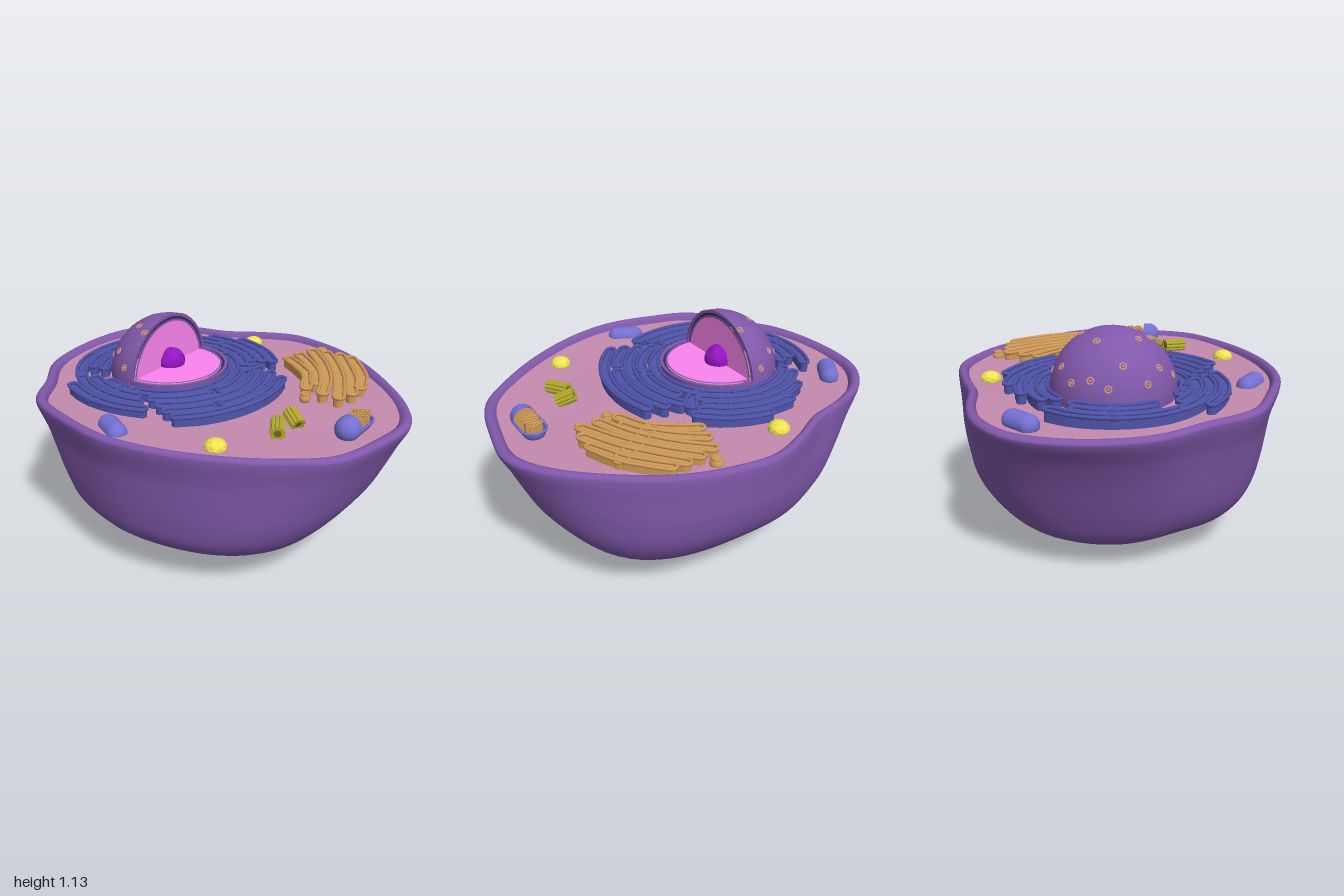
import * as THREE from 'three';

const V3 = (x, y, z) => new THREE.Vector3(x, y, z);
const mat = (color, double) => new THREE.MeshStandardMaterial({ color, side: double ? THREE.DoubleSide : THREE.FrontSide });
const PURPLE = 0x8058aa, DARK = 0x3d2a55, BLUE = 0x5054aa, LILAC = 0x7470d2, TAN = 0xd09a58, PINK = 0xfa84ee;

function add(parent, name, geo, color, double = false) {
  const m = new THREE.Mesh(geo, mat(color, double));
  m.name = name;
  parent.add(m);
  return m;
}

// Surface through rows of points that close on themselves
function loft(rows) {
  const n = rows[0].length, pos = [], idx = [];
  rows.forEach(r => r.forEach(p => pos.push(p.x, p.y, p.z)));
  for (let j = 0; j < rows.length - 1; j++) for (let i = 0; i < n; i++) {
    const a = j * n + i, b = j * n + (i + 1) % n;
    idx.push(a, b, a + n, b, b + n, a + n);
  }
  const g = new THREE.BufferGeometry();
  g.setAttribute('position', new THREE.Float32BufferAttribute(pos, 3));
  g.setIndex(idx);
  g.computeVertexNormals();
  return g;
}

// Rounded strip following [x, z] points, with a raised lip round its top edge
function ribbon(parent, name, pts, w, y0, h, color, lip = 0.01) {
  const curve = new THREE.CatmullRomCurve3(pts.map(p => V3(p[0], 0, p[1])));
  const n = Math.max(12, pts.length * 4), left = [], right = [], out = [];
  for (let i = 0; i <= n; i++) {
    const p = curve.getPoint(i / n), t = curve.getTangent(i / n);
    left.push([p.x - t.z * w / 2, p.z + t.x * w / 2]);
    right.unshift([p.x + t.z * w / 2, p.z - t.x * w / 2]);
  }
  const cap = (u, s) => {
    const p = curve.getPoint(u), t = curve.getTangent(u).multiplyScalar(s);
    for (let k = 1; k < 5; k++) {
      const a = k * Math.PI / 5, c = Math.cos(a) * w / 2, d = Math.sin(a) * w / 2;
      out.push([p.x - t.z * c + t.x * d, p.z + t.x * c + t.z * d]);
    }
  };
  out.push(...left); cap(1, 1); out.push(...right); cap(0, -1);
  const g = new THREE.Group();
  g.name = name;
  const body = new THREE.ExtrudeGeometry(new THREE.Shape(out.map(p => new THREE.Vector2(p[0], -p[1]))),
    { depth: h - lip * 1.6, bevelEnabled: false }).rotateX(-Math.PI / 2).translate(0, y0, 0);
  add(g, name + 'Body', body, color);
  const edge = new THREE.CatmullRomCurve3(out.map(p => V3(p[0], y0 + h - lip, p[1])), true);
  add(g, name + 'Lip', new THREE.TubeGeometry(edge, out.length * 2, lip, 6, true), color);
  parent.add(g);
}

function buildMembrane(g) {
  const outline = new THREE.CatmullRomCurve3([
    [0.14, -1], [0.35, -0.955], [0.52, -0.81], [0.61, -0.63], [0.665, -0.42], [0.76, -0.24], [0.84, -0.02], [0.815, 0.2],
    [0.745, 0.41], [0.595, 0.64], [0.355, 0.89], [0.16, 0.99], [-0.07, 0.97], [-0.345, 0.89], [-0.515, 0.72], [-0.675, 0.485],
    [-0.79, 0.22], [-0.84, -0.05], [-0.8, -0.33], [-0.712, -0.595], [-0.5, -0.755], [-0.32, -0.905], [-0.13, -0.975],
  ].map(p => V3(p[0], 0, p[1])), true).getPoints(120).slice(0, 120);
  const rimY = p => 0.798 + 0.029 * (p.x / 0.84) ** 2 - 0.008 * p.x + 0.008 * Math.max(0, -p.z);
  const floorY = (x, z) => 0.792 + 0.014 * (x / 0.84) ** 2 - 0.006 * x - 0.006 * z * z + 0.003 * Math.sin(7 * x + 2) * Math.sin(6 * z);
  // height and scale towards left-hand x, right-hand x, front, back
  const section = [[0.68, 0.955, 0.99, 0.955, 0.93], [0.56, 0.935, 0.975, 0.905, 0.87], [0.42, 0.91, 0.92, 0.84, 0.81],
    [0.3, 0.87, 0.81, 0.75, 0.755], [0.2, 0.76, 0.69, 0.66, 0.69], [0.12, 0.57, 0.55, 0.54, 0.57],
    [0.06, 0.4, 0.4, 0.39, 0.44], [0.022, 0.22, 0.25, 0.2, 0.3]];
  const columns = outline.map(p => {
    const lerp = THREE.MathUtils.lerp;
    const pts = [[0.935, floorY(p.x, p.z) - 0.006], [0.95, rimY(p)], [0.97, rimY(p) + 0.01], [0.99, rimY(p) + 0.004], [1, rimY(p) - 0.012]]
      .map(([s, y]) => V3(p.x * s, y, p.z * s));
    // lower down, the wavy outline swells into a plain rounded oval
    const norm = (Math.abs(p.x / 0.84) ** 2.5 + Math.abs(p.z / 0.99) ** 2.5) ** 0.4;
    section.forEach(([y, l, r, f, b]) => {
      const k = Math.min(1, (0.8 - y) * 2) * (0.75 + 0.3 * (p.x + p.z)), q = norm ** -k;
      pts.push(V3(p.x * q * lerp(l, r, (p.x / 0.84 + 1) / 2), y,
        p.z * q * lerp(b, f, (p.z + 1) / 2) - 0.1 * (1 - y / 0.8) ** 8));
    });
    pts.push(V3(-0.03, 0.002, -0.13));
    return new THREE.CatmullRomCurve3(pts).getPoints(52);
  });
  add(g, 'membrane', loft(columns[0].map((_, j) => columns.map(c => c[j]))), PURPLE);
  const floor = [];
  for (let k = 0; k <= 14; k++) floor.push(outline.map(p => {
    const s = 0.945 * k / 14;
    return V3(p.x * s, floorY(p.x * s, p.z * s), p.z * s);
  }));
  add(g, 'cytoplasm', loft(floor), 0xc48aae);
}

function buildNucleus(g) {
  const n = new THREE.Group();
  n.name = 'nucleus';
  n.position.set(-0.029, 0.821, -0.302);
  g.add(n);
  const R = 0.309, P = Math.PI, top = 0.046;
  add(n, 'nucleusDome', new THREE.SphereGeometry(R, 40, 24, P, P, 0, P / 2 + 0.12), PURPLE, true);
  add(n, 'nucleusBase', new THREE.CylinderGeometry(R, R * 0.98, top + 0.035, 40, 1, true, -P / 2, P).translate(0, top / 2 - 0.0175, 0), PURPLE, true);
  // layered envelope seen on both cut faces
  [[R, 0.294, PURPLE, 0], [0.294, 0.28, DARK, -0.008], [0.28, 0.27, PURPLE, 0]].forEach(([o, i, c, d]) => {
    add(n, 'envelopeArch', new THREE.RingGeometry(i, o, 40, 1, 0, P).translate(0, 0, d), c, true);
    add(n, 'envelopeLedge', new THREE.RingGeometry(i, o, 40, 1, P, P).rotateX(-P / 2).translate(0, top + d, 0), c, true);
  });
  add(n, 'innerWall', new THREE.CircleGeometry(0.272, 40, 0, P).translate(0, 0, -0.006), PINK, true);
  add(n, 'innerFloor', new THREE.CircleGeometry(0.272, 40, P, P).rotateX(-P / 2).translate(0, top - 0.006, 0), PINK, true);
  const core = new THREE.SphereGeometry(0.073, 24, 16), a = core.attributes.position;
  for (let i = 0; i < a.count; i++) {
    const v = V3().fromBufferAttribute(a, i);
    v.multiplyScalar(1 + 0.07 * Math.sin(70 * v.x) * Math.sin(60 * v.y + 1) * Math.cos(65 * v.z));
    a.setXYZ(i, v.x, v.y, v.z);
  }
  core.computeVertexNormals();
  add(n, 'nucleolus', core, 0x9414c0).position.set(0.008, 0.056, 0.005);
  [[-0.24, -0.78], [0.22, -0.9], [-0.41, -0.29], [0.19, -0.48], [0.72, -0.52], [-0.74, -0.47], [0.5, -0.06], [-0.55, -0.06],
    [0.52, -0.8], [-0.6, -0.74], [0.93, -0.2], [-0.93, -0.2], [-0.05, -0.96]].forEach(([x, z]) => {
    const d = V3(x, Math.sqrt(1 - x * x - z * z), z), pore = new THREE.Group();
    pore.name = 'pore';
    add(pore, 'poreRing', new THREE.TorusGeometry(0.015, 0.005, 6, 14), 0xc8909a);
    add(pore, 'poreCore', new THREE.SphereGeometry(0.007, 8, 6), TAN);
    pore.position.copy(d).multiplyScalar(R);
    pore.quaternion.setFromUnitVectors(V3(0, 0, 1), d);
    n.add(pore);
  });
}

function buildReticulum(g) {
  const at = (r, deg) => [-0.03 + r * Math.cos(deg * Math.PI / 180), -0.305 + r * Math.sin(deg * Math.PI / 180)];
  // radius, start and end angle of each folded sheet
  [[0.465, -138, -60], [0.405, -124, -72], [0.345, -128, -66],
    [0.53, 155, 207], [0.465, 160, 220], [0.4, 165, 212], [0.345, 172, 200],
    [0.61, 70, 138], [0.545, 64, 112], [0.545, 120, 142], [0.48, 58, 146], [0.415, 66, 102], [0.415, 112, 152], [0.345, 25, 172],
    [0.345, -48, 18], [0.4, -42, 48], [0.455, -26, 42], [0.51, -8, 44], [0.565, 10, 46],
  ].forEach(([r, a, b]) => {
    const k = Math.ceil((b - a) / 12);
    ribbon(g, 'reticulumFold', Array.from({ length: k + 1 }, (_, i) => at(r, a + (b - a) * i / k)), 0.046, 0.78, 0.073, BLUE);
  });
  // bridges between neighbouring sheets
  [[0.35, 0.46, -98], [0.35, 0.53, 186], [0.345, 0.48, 106], [0.48, 0.6, 92], [0.35, 0.45, 4], [0.4, 0.56, 30], [0.35, 0.47, 52]]
    .forEach(([r0, r1, a]) => ribbon(g, 'reticulumBridge', [at(r0, a), at((r0 + r1) / 2, a + 2), at(r1, a)], 0.055, 0.78, 0.066, BLUE));
}

function buildGolgi(g) {
  [[[0.17, 0.42], [0.31, 0.35], [0.4, 0.24], [0.455, 0.15]], [[0.25, 0.43], [0.38, 0.35], [0.48, 0.25], [0.54, 0.17]],
    [[0.16, 0.52], [0.33, 0.45], [0.5, 0.33], [0.63, 0.2]], [[0.16, 0.61], [0.36, 0.51], [0.53, 0.39], [0.65, 0.28]],
    [[0.24, 0.64], [0.4, 0.56], [0.55, 0.45], [0.66, 0.36]], [[0.33, 0.645], [0.47, 0.585], [0.58, 0.5], [0.655, 0.43]],
  ].forEach(p => ribbon(g, 'golgiSheet', p, 0.05, 0.78, 0.067, TAN));
  ribbon(g, 'golgiBridge', [[0.33, 0.34], [0.41, 0.46], [0.48, 0.58]], 0.06, 0.78, 0.059, TAN);
  [[0.11, 0.45, 0.028], [0.7, 0.225, 0.033]].forEach(([x, z, r]) => {
    add(g, 'vesicle', new THREE.SphereGeometry(r, 16, 12), TAN).position.set(x, 0.806, z);
    add(g, 'vesicleLip', new THREE.TorusGeometry(r * 0.6, 0.008, 6, 16).rotateX(Math.PI / 2), TAN).position.set(x, 0.83, z);
  });
}

function buildMitochondria(g) {
  [[0.31, -0.785, 0.6], [-0.69, -0.105, -1.13]].forEach(([x, z, turn]) => {
    const m = add(g, 'mitochondrion', new THREE.CapsuleGeometry(0.05, 0.1, 8, 20).rotateZ(Math.PI / 2), LILAC);
    m.position.set(x, 0.804, z);
    m.rotation.y = -turn;
  });
  // opened mitochondrion: closed end, trough and folded inner sheet
  const m = new THREE.Group(), r = 0.06, P = Math.PI;
  m.name = 'openMitochondrion';
  m.position.set(-0.07, 0.824, 0.79);
  const dome = (y0, s) => Array.from({ length: 9 }, (_, i) =>
    new THREE.Vector2(r * Math.cos(i * P / 16), y0 + s * r * Math.sin(i * P / 16)));
  add(m, 'closedEnd', new THREE.LatheGeometry([new THREE.Vector2(r, 0), ...dome(0.03, 1)], 24).rotateZ(P / 2), LILAC, true);
  add(m, 'cutFace', new THREE.CircleGeometry(r * 0.98, 24).rotateY(P / 2), TAN, true);
  add(m, 'trough', new THREE.LatheGeometry([...dome(-0.1, -1).reverse(), new THREE.Vector2(r, 0)], 16, P, P).rotateZ(P / 2), LILAC, true);
  const edge = [V3(0, 0, r), ...Array.from({ length: 9 }, (_, i) =>
    V3(0.1 + r * Math.sin(i * P / 8), 0, r * Math.cos(i * P / 8))), V3(0, 0, -r)];
  add(m, 'troughLip', new THREE.TubeGeometry(new THREE.CatmullRomCurve3(edge), 40, 0.007, 6), LILAC);
  const folds = Array.from({ length: 6 }, (_, i) => [0.015 + i * 0.024, (i % 2 ? 1 : -1) * (i === 5 ? 0.024 : 0.034)]);
  ribbon(m, 'cristae', folds, 0.019, -0.03, 0.066, TAN, 0.004);
  g.add(m);
}

function buildSmallParts(g) {
  [[0.62, -0.19], [-0.555, 0.38]].forEach(([x, z]) => {
    const s = add(g, 'lysosome', new THREE.IcosahedronGeometry(0.054, 1).scale(1, 0.75, 1), 0xeee450);
    s.material.flatShading = true;
    s.position.set(x, 0.804, z);
  });
  // centrioles: nine rods in a ring
  [[-0.27, 0.823, 0.525, 0.12, V3(0.85, 0.05, -0.5)], [-0.15, 0.828, 0.54, 0.095, V3(0.45, 0.4, -0.8)]].forEach(([x, y, z, len, dir]) => {
    const c = new THREE.Group();
    c.name = 'centriole';
    for (let i = 0; i < 9; i++) {
      const a = i * Math.PI * 2 / 9;
      add(c, 'centrioleRod', new THREE.CylinderGeometry(0.01, 0.01, len, 8), 0xb4ac30)
        .position.set(0.027 * Math.cos(a), 0, 0.027 * Math.sin(a));
    }
    add(c, 'centrioleCore', new THREE.CylinderGeometry(0.024, 0.024, len - 0.01, 12), 0x6e6a1c);
    c.position.set(x, y, z);
    c.quaternion.setFromUnitVectors(V3(0, 1, 0), dir.normalize());
    g.add(c);
  });
}

export function createModel() {
  const g = new THREE.Group();
  g.name = 'animalCell';
  [buildMembrane, buildNucleus, buildReticulum, buildGolgi, buildMitochondria, buildSmallParts].forEach(build => build(g));
  return g;
}
